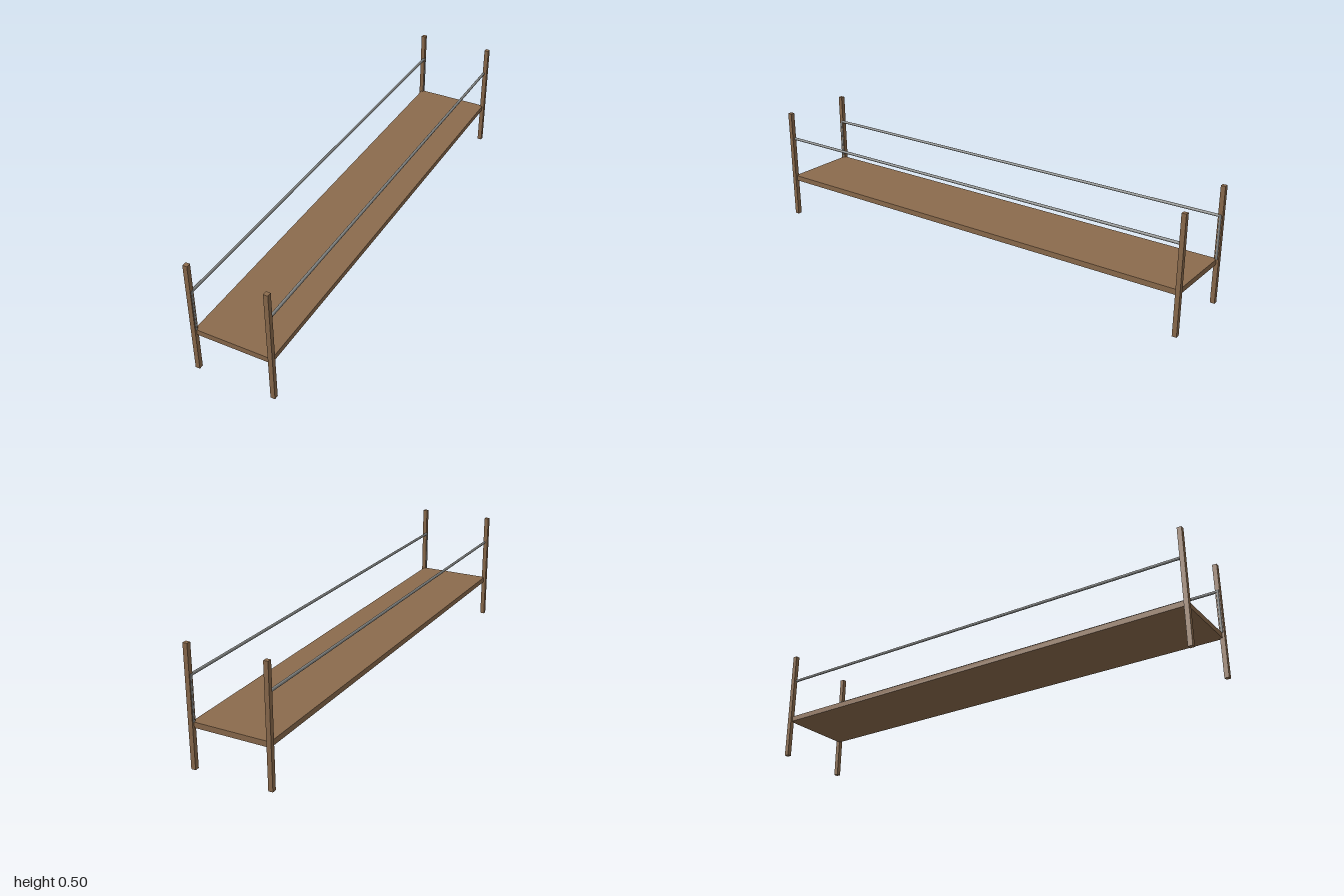
import * as THREE from 'three';

export function createModel() {
  const model = new THREE.Group();
  const wood = new THREE.MeshStandardMaterial({ color: 0x8b6b4d });
  wood.name = 'brown wood';
  const metal = new THREE.MeshStandardMaterial({ color: 0x888a88 });
  metal.name = 'grey metal';

  function add(name, geometry, material, x, y, z) {
    const mesh = new THREE.Mesh(geometry, material);
    mesh.name = name;
    mesh.position.set(x, y, z);
    model.add(mesh);
  }

  const postX = 0.165, postZ = 0.99, postSize = 0.019, postHeight = 0.495;
  const railX = 0.159, railY = 0.372, railRadius = 0.006, deckTop = 0.19, deckThickness = 0.023;

  // Walkway deck, reaching the centre lines of the posts
  add('deck', new THREE.BoxGeometry(postX * 2, deckThickness, postZ * 2), wood,
    0, deckTop - deckThickness / 2, 0);

  const postGeometry = new THREE.BoxGeometry(postSize, postHeight, postSize);
  const railGeometry = new THREE.CylinderGeometry(railRadius, railRadius, postZ * 2, 12).rotateX(Math.PI / 2);
  const rodHeight = railY + railRadius - deckTop;
  const rodGeometry = new THREE.CylinderGeometry(railRadius, railRadius, rodHeight, 12);

  for (const side of [1, -1]) {
    const sideName = side > 0 ? 'left' : 'right';
    // Handrail along each side
    add(`${sideName}Handrail`, railGeometry, metal, side * railX, railY, 0);
    for (const end of [1, -1]) {
      const endName = end > 0 ? 'Front' : 'Back';
      // Corner post with the upright rod let into its inner face
      add(`${sideName}${endName}Post`, postGeometry, wood, side * postX, postHeight / 2, end * postZ);
      add(`${sideName}${endName}Upright`, rodGeometry, metal,
        side * railX, deckTop + rodHeight / 2, end * postZ);
    }
  }
  return model;
}
